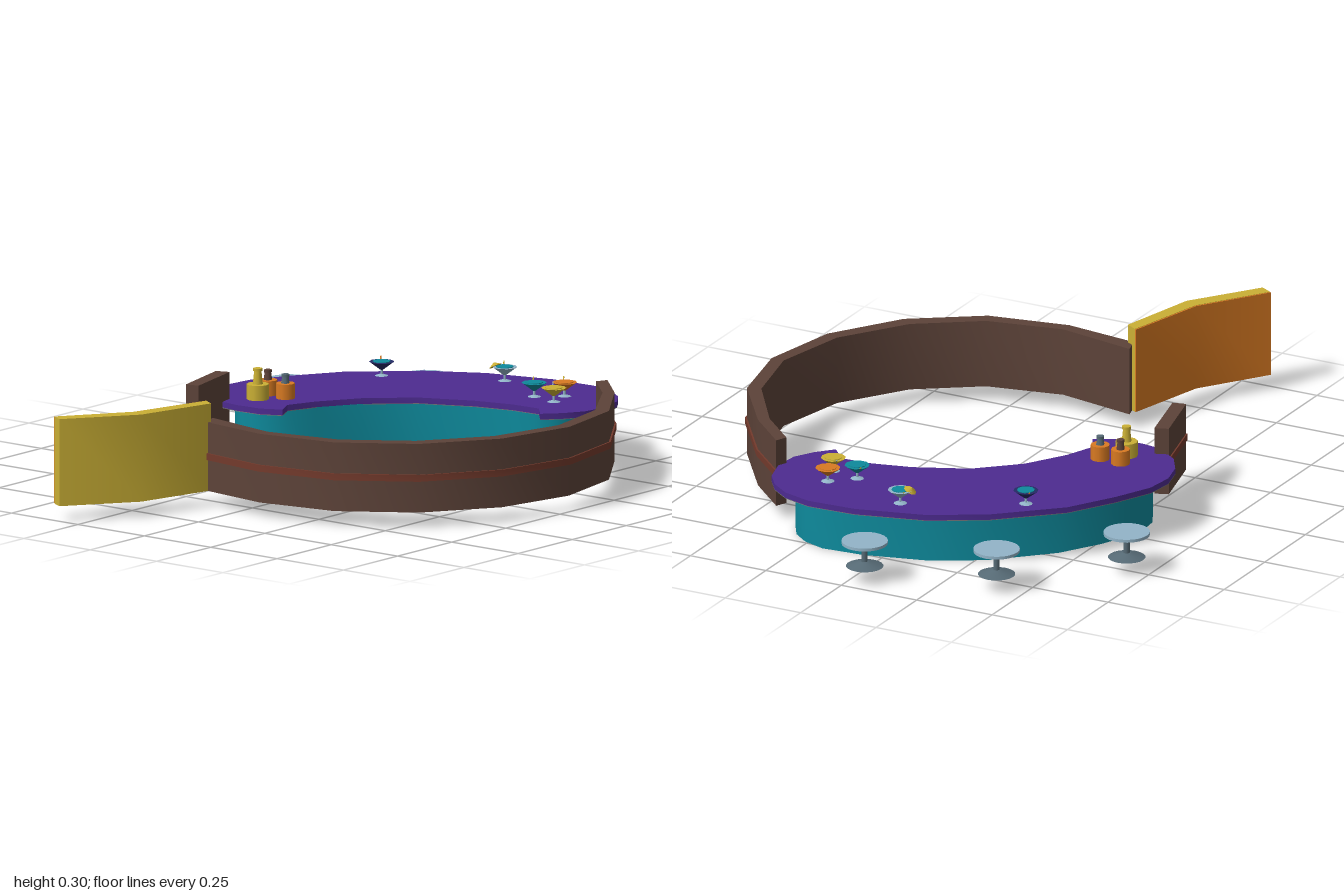
import * as THREE from 'three';
import { toCreasedNormals } from 'three/addons/utils/BufferGeometryUtils.js';

const mat = (name, color) => {
  const m = new THREE.MeshStandardMaterial({ color });
  m.name = name;
  return m;
};

export function createModel() {
  const brown = mat('wall brown', 0x5d4339), rust = mat('rust stripe', 0x733a2c);
  const yellow = mat('yellow', 0xcbb035), orange = mat('orange', 0xd97a22);
  const teal = mat('teal', 0x0e8a9c), purple = mat('counter purple', 0x4d2b90);
  const grey = mat('underside grey', 0x76767a), seatBlue = mat('seat blue', 0x92b4c8);
  const steel = mat('steel', 0x566a75), navy = mat('navy', 0x252a66);

  const root = new THREE.Group();
  root.name = 'barCorner';

  const add = (parent, name, geo, material, x = 0, y = 0, z = 0) => {
    const m = new THREE.Mesh(geo, material);
    m.name = name;
    m.position.set(x, y, z);
    parent.add(m);
    return m;
  };
  // Upright prism over a floor outline of [x, z] points
  const prism = (name, pts, y0, y1, material) => {
    const shape = new THREE.Shape(pts.map(([x, z]) => new THREE.Vector2(x, -z)));
    const geo = new THREE.ExtrudeGeometry(shape, { depth: y1 - y0, bevelEnabled: false });
    geo.rotateX(-Math.PI / 2);
    return add(root, name, toCreasedNormals(geo, 0.6), material, 0, y0, 0);
  };
  const band = (a, b) => [...a, ...[...b].reverse()];
  const shift = (pts, dx, dz) => pts.map(([x, z]) => [x + dx, z + dz]);

  // Curved wall with a painted stripe on its outer face
  const outer = [[-0.56, -0.13], [-0.59, 0.1], [-0.545, 0.345], [-0.405, 0.55], [-0.195, 0.69],
    [0.055, 0.74], [0.3, 0.69], [0.51, 0.54], [0.63, 0.415]];
  const inner = [[-0.505, -0.145], [-0.552, 0.1], [-0.505, 0.33], [-0.377, 0.515], [-0.18, 0.65],
    [0.055, 0.7], [0.285, 0.65], [0.485, 0.515], [0.595, 0.4]];
  const swollen = outer.map(([x, z]) => [0.05 + (x - 0.05) * 1.008, 0.1 + (z - 0.1) * 1.008]);
  prism('curvedWall', band(outer, inner), 0.045, 0.25, brown);
  prism('curvedWallStripe', band(swollen, outer), 0.138, 0.158, rust);

  // Short wall behind the counter
  const back = [[-0.195, -0.5], [0.005, -0.55]];
  prism('shortWall', band(back, [[-0.185, -0.46], [0.02, -0.51]]), 0.045, 0.25, brown);
  prism('shortWallStripe', band(shift(back, -0.001, -0.004), back), 0.138, 0.158, rust);

  // Folded screen, yellow with an orange back face
  const screenBack = [[-0.98, -0.355], [-0.78, -0.215], [-0.53, -0.15]];
  const screenFront = [[-1, -0.32], [-0.8, -0.175], [-0.55, -0.115]];
  prism('screen', band(screenBack, screenFront), 0.045, 0.305, yellow);
  prism('screenBackFace', band(shift(screenBack, 0.002, -0.004), screenBack), 0.046, 0.304, orange);

  // Crescent counter
  prism('counterBase', [[0.035, -0.44], [0.04, -0.49], [0.075, -0.535], [0.125, -0.56], [0.18, -0.565],
    [0.25, -0.555], [0.35, -0.51], [0.47, -0.435], [0.62, -0.28], [0.705, -0.13], [0.755, 0.06],
    [0.765, 0.19], [0.74, 0.26], [0.7, 0.31], [0.65, 0.34], [0.6, 0.35], [0.55, 0.335], [0.51, 0.3],
    [0.49, 0.25], [0.483, 0.18], [0.452, 0.06], [0.382, -0.095], [0.272, -0.213], [0.15, -0.29],
    [0.08, -0.34], [0.045, -0.39]], 0, 0.153, teal);
  const top = [[-0.035, -0.44], [-0.025, -0.505], [0.03, -0.58], [0.095, -0.62], [0.175, -0.64],
    [0.265, -0.63], [0.38, -0.575], [0.52, -0.49], [0.68, -0.315], [0.77, -0.155], [0.825, 0.05],
    [0.832, 0.2], [0.805, 0.29], [0.76, 0.35], [0.705, 0.39], [0.62, 0.413], [0.54, 0.405],
    [0.48, 0.37], [0.43, 0.325], [0.485, 0.275], [0.48, 0.18], [0.45, 0.06], [0.38, -0.095],
    [0.27, -0.215], [0.15, -0.29], [0.06, -0.325], [0, -0.295], [-0.03, -0.355]];
  prism('counterTop', top, 0.153, 0.17, purple);
  prism('counterUnderside', top, 0.151, 0.153, grey);

  // Round stools
  for (const [x, z] of [[0.505, -0.68], [0.805, -0.41], [0.93, -0.04]]) {
    const stool = new THREE.Group();
    stool.name = 'stool';
    stool.position.set(x, 0.045, z);
    root.add(stool);
    add(stool, 'seat', new THREE.CylinderGeometry(0.068, 0.068, 0.009, 24), seatBlue, 0, 0.075, 0);
    add(stool, 'post', new THREE.CylinderGeometry(0.009, 0.009, 0.065, 10), steel, 0, 0.038, 0);
    add(stool, 'foot', new THREE.CylinderGeometry(0.012, 0.055, 0.014, 20), steel, 0, 0.007, 0);
  }

  // Bottles
  const bottles = [[0.07, -0.445, 0.033, 0.092, yellow, yellow], [0.135, -0.46, 0.028, 0.075, orange, brown],
    [0.13, -0.39, 0.028, 0.072, orange, steel]];
  for (const [x, z, r, h, body, neck] of bottles) {
    const bottle = new THREE.Group();
    bottle.name = 'bottle';
    bottle.position.set(x, 0.17, z);
    root.add(bottle);
    add(bottle, 'bottleBody', new THREE.CylinderGeometry(r, r, 0.045, 10), body, 0, 0.0225, 0);
    add(bottle, 'bottleNeck', new THREE.CylinderGeometry(r * 0.3, r * 0.45, h - 0.045, 8), neck,
      0, (h + 0.045) / 2, 0);
    add(bottle, 'bottleCap', new THREE.CylinderGeometry(r * 0.42, r * 0.42, 0.008, 8), neck, 0, h - 0.004, 0);
  }

  // Cocktail glasses, each with a drink, stirrer and garnish
  const glasses = [[0.55, -0.37, navy, teal, orange], [0.72, -0.045, seatBlue, teal, yellow],
    [0.605, 0.16, teal, teal, yellow], [0.585, 0.25, yellow, yellow, seatBlue],
    [0.665, 0.225, orange, orange, yellow]];
  for (const [x, z, bowl, drink, garnish] of glasses) {
    const glass = new THREE.Group();
    glass.name = 'glass';
    glass.position.set(x, 0.17, z);
    root.add(glass);
    add(glass, 'glassFoot', new THREE.CylinderGeometry(0.005, 0.02, 0.005, 10), seatBlue, 0, 0.0025, 0);
    add(glass, 'glassStem', new THREE.CylinderGeometry(0.004, 0.004, 0.018, 6), seatBlue, 0, 0.011, 0);
    add(glass, 'glassBowl', new THREE.CylinderGeometry(0.037, 0.005, 0.024, 10), bowl, 0, 0.03, 0);
    add(glass, 'drink', new THREE.CylinderGeometry(0.026, 0.026, 0.003, 10), drink, 0, 0.0425, 0);
    const stirrer = add(glass, 'stirrer', new THREE.CylinderGeometry(0.002, 0.002, 0.03, 5), garnish,
      0.022, 0.042, -0.022);
    stirrer.rotation.set(-0.8, 0, -0.8);
  }
  // Paper umbrella
  const umbrella = add(root, 'umbrella', new THREE.ConeGeometry(0.02, 0.012, 8), yellow, 0.71, 0.217, -0.075);
  umbrella.rotation.x = -0.5;

  return root;
}
